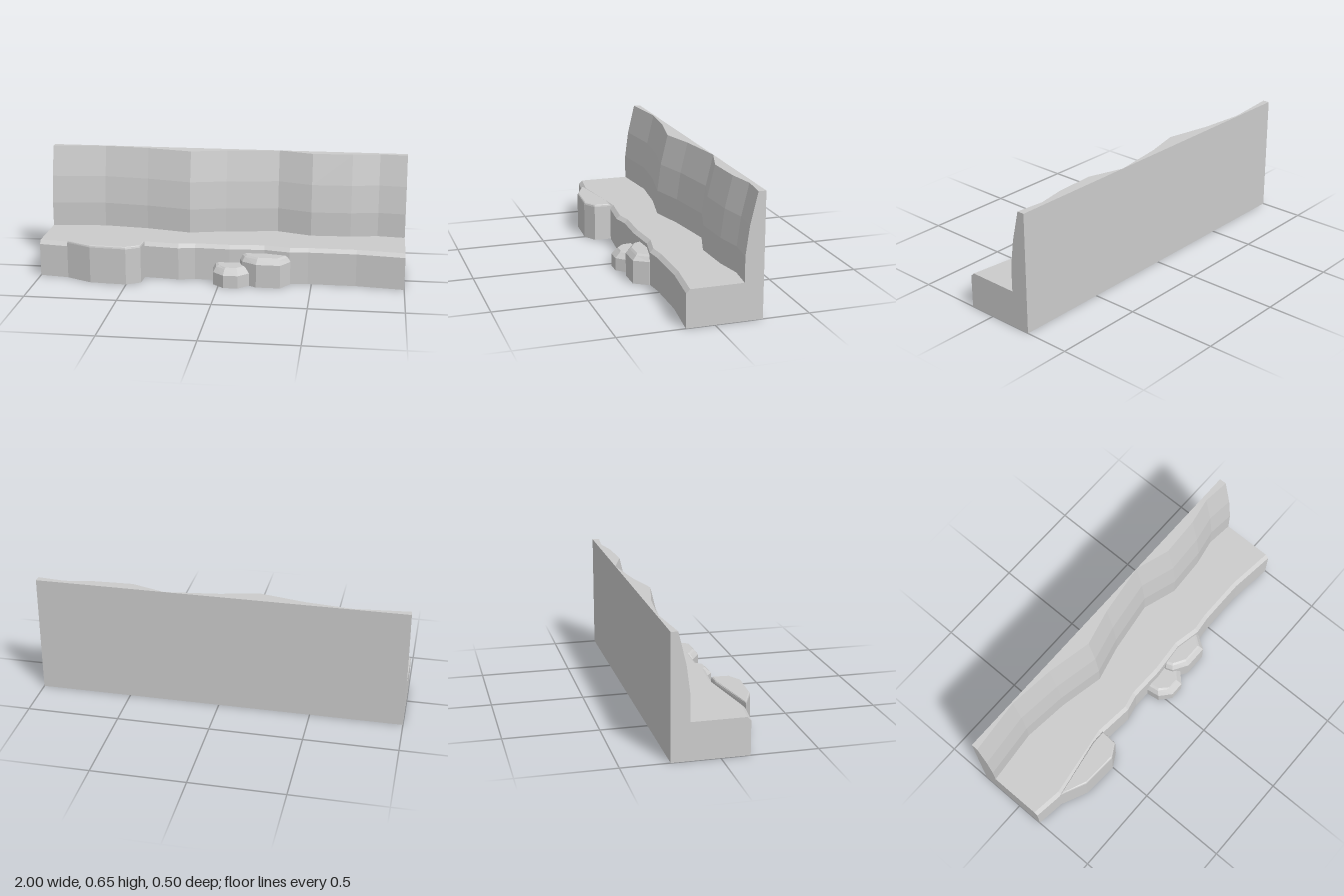
import * as THREE from 'three';

const material = new THREE.MeshStandardMaterial({ color: 0xcccccc, flatShading: true });

// Skin equal-length counter-clockwise rings of [u, v] placed at each w, and cap both ends.
function loft(name, ws, rings, toPoint) {
  const pos = [];
  const put = (i, j) => pos.push(...toPoint(rings[i][j][0], rings[i][j][1], ws[i]));
  const n = rings[0].length;
  const last = rings.length - 1;
  for (let i = 0; i < last; i++) {
    for (let j = 0; j < n; j++) {
      const k = (j + 1) % n;
      put(i, j); put(i + 1, j); put(i + 1, k);
      put(i, j); put(i + 1, k); put(i, k);
    }
  }
  for (const i of [0, last]) {
    const contour = rings[i].map(([u, v]) => new THREE.Vector2(u, v));
    for (const [a, b, c] of THREE.ShapeUtils.triangulateShape(contour, [])) {
      put(i, a);
      put(i, i ? c : b);
      put(i, i ? b : c);
    }
  }
  const geometry = new THREE.BufferGeometry();
  geometry.setAttribute('position', new THREE.Float32BufferAttribute(pos, 3));
  geometry.computeVertexNormals();
  const mesh = new THREE.Mesh(geometry, material);
  mesh.name = name;
  return mesh;
}

// Height of a polyline of [x, z] points at x.
function sample(line, x) {
  let i = 1;
  while (i < line.length - 1 && line[i][0] < x) i++;
  const [x0, z0] = line[i - 1];
  const [x1, z1] = line[i];
  return z0 + (z1 - z0) * (x - x0) / (x1 - x0);
}

// Boulder: plan outline raised through levels of [y, scale x, scale z] about a centre.
function boulder(name, outline, [cx, cz], levels) {
  const rings = levels.map(([, sx, sz]) =>
    outline.map(([x, z]) => [cx + (x - cx) * sx, cz + (z - cz) * sz]));
  return loft(name, levels.map(l => l[0]), rings, (x, z, y) => [x, y, z]);
}

export function createModel() {
  const group = new THREE.Group();
  group.name = 'rockLedge';

  // Foot of the cliff wall and front rim of the ledge, in plan
  const wall = [[-1, -0.153], [-0.7, -0.182], [-0.45, -0.155], [-0.2, -0.102], [0, -0.15],
    [0.29, -0.19], [0.48, -0.128], [0.7, -0.138], [0.85, -0.165], [1, -0.15]];
  const rim = [[-1, 0.15], [-0.83, 0.172], [-0.43, 0.112], [-0.23, 0.132], [-0.14, 0.112],
    [0.05, 0.117], [0.24, 0.102], [0.38, 0.131], [0.48, 0.12], [0.74, 0.12], [1, 0.15]];

  // Wall and ledge as one stepped section swept along x
  const xs = [...new Set([...wall, ...rim].map(p => p[0]))].sort((a, b) => a - b);
  const sections = xs.map(x => {
    const w = sample(wall, x);
    const f = sample(rim, x);
    return [[-0.25, 0], [f, 0], [f, 0.18], [f - 0.02, 0.2], [w, 0.2], [w, 0.335],
      [w - 0.02, 0.487], [w - 0.06, 0.655], [-0.25, 0.655]];
  });
  group.add(loft('wallAndLedge', xs, sections, (z, y, x) => [x, y, z]));

  // Broad outcrop standing just above the ledge
  group.add(boulder('broadOutcrop',
    [[-0.42, 0.112], [-0.425, 0.207], [-0.5, 0.25], [-0.7, 0.238], [-0.84, 0.173], [-0.5, 0.112]],
    [-0.55, 0.18], [[0, 1, 1], [0.2, 1, 1], [0.208, 0.985, 0.96], [0.212, 0.95, 0.88]]));

  // Two rounded boulders against the rim
  group.add(boulder('smallBoulder',
    [[0.165, 0.08], [0.165, 0.185], [0.11, 0.24], [0.03, 0.24], [-0.03, 0.187], [-0.042, 0.11], [-0.035, 0.08]],
    [0.064, 0.09], [[0, 1, 1], [0.07, 1, 1], [0.098, 0.85, 0.81], [0.105, 0.7, 0.77]]));
  group.add(boulder('largeBoulder',
    [[0.36, 0.07], [0.385, 0.135], [0.335, 0.21], [0.205, 0.21], [0.125, 0.16], [0.11, 0.12], [0.13, 0.07]],
    [0.25, 0.08], [[0, 1, 1], [0.128, 1, 1], [0.152, 0.9, 0.84], [0.16, 0.8, 0.77]]));

  return group;
}
